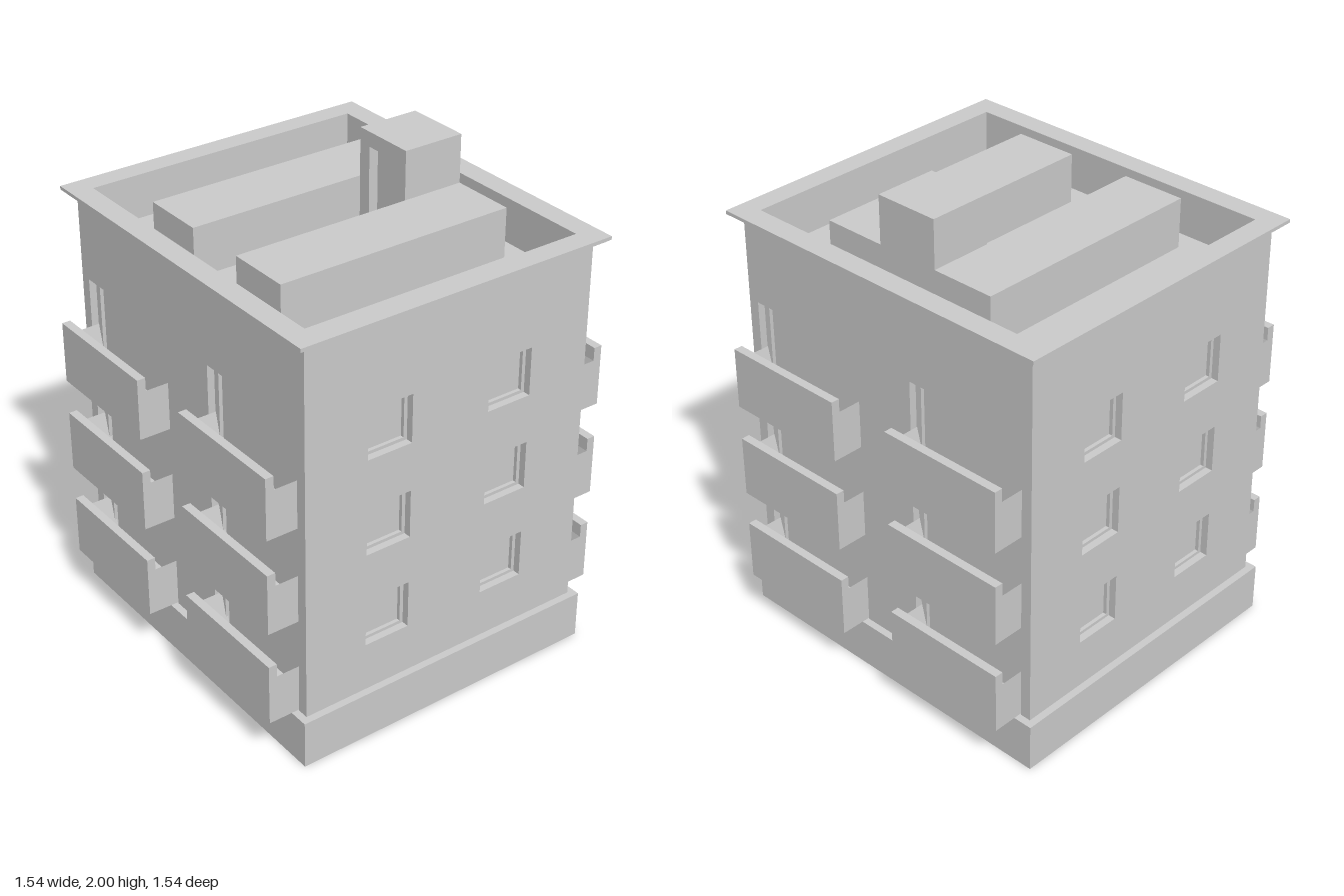
import * as THREE from 'three';
import { ConvexGeometry } from 'three/addons/geometries/ConvexGeometry.js';

const mat = new THREE.MeshStandardMaterial({ color: 0xcccccc, side: THREE.DoubleSide });
const STOREYS = [0, 1, 2];
const ROOF = 1.6;

function add(parent, name, geometry, x = 0, y = 0, z = 0) {
  const mesh = new THREE.Mesh(geometry, mat);
  mesh.name = name;
  mesh.position.set(x, y, z);
  parent.add(mesh);
  return mesh;
}

// Box given by its minimum and maximum corners
function block(parent, name, x0, x1, y0, y1, z0, z1) {
  return add(parent, name, new THREE.BoxGeometry(x1 - x0, y1 - y0, z1 - z0),
    (x0 + x1) / 2, (y0 + y1) / 2, (z0 + z1) / 2);
}

function rectPoints([x0, x1, y0, y1]) {
  return [[x0, y0], [x1, y0], [x1, y1], [x0, y1]].map(p => new THREE.Vector2(...p));
}

// Flat slab with rectangular holes, each rectangle as [x0, x1, y0, y1]
function slab(rect, holes, depth) {
  const shape = new THREE.Shape(rectPoints(rect));
  for (const h of holes) shape.holes.push(new THREE.Path(rectPoints(h).reverse()));
  return new THREE.ExtrudeGeometry(shape, { depth, bevelEnabled: false });
}

// Horizontal ring running round the top of the walls
function ring(parent, name, hx, hz, y, height) {
  const mesh = add(parent, name, slab([-hx, hx, -hz, hz], [[-0.595, 0.595, -0.68, 0.68]], height), 0, y, 0);
  mesh.rotation.x = -Math.PI / 2;
}

// Wall of two layers: an outer reveal and a narrower inner frame
function wall(name, half, distance, angle, reveals, frames) {
  const g = new THREE.Group();
  g.name = name;
  const rect = [-half, half, 0.15, 1.765];
  add(g, 'wallFace', slab(rect, reveals, 0.03), 0, 0, distance - 0.03);
  add(g, 'openingFrames', slab(rect, frames, 0.015), 0, 0, distance - 0.045);
  g.rotation.y = angle;
  return g;
}

// Balcony along z: trough with a raised front rail and sloped inner ends
function balcony() {
  const g = new THREE.Group();
  g.name = 'balcony';
  const half = 0.27;
  const profile = [[0.6, 0], [0.77, 0], [0.77, 0.255], [0.735, 0.255],
    [0.735, 0.2], [0.703, 0.05], [0.6, 0.05]];
  const shape = new THREE.Shape(profile.map(p => new THREE.Vector2(...p)));
  add(g, 'balconyTrough', new THREE.ExtrudeGeometry(shape, { depth: 2 * half, bevelEnabled: false }), 0, 0, -half);
  for (const s of [-1, 1]) {
    const end = s * half, inner = s * (half - 0.035);
    const pts = [[0.6, 0.2, end], [0.735, 0.2, end], [0.6, 0.05, end], [0.703, 0.05, end],
      [0.6, 0.05, inner], [0.703, 0.05, inner]];
    add(g, 'balconyEnd', new ConvexGeometry(pts.map(p => new THREE.Vector3(...p))));
  }
  return g;
}

export function createModel() {
  const model = new THREE.Group();
  model.name = 'apartmentBuilding';

  // Plinth and solid core up to the roof deck
  block(model, 'plinth', -0.67, 0.67, 0, 0.2, -0.755, 0.755);
  block(model, 'core', -0.595, 0.595, 0.15, ROOF, -0.68, 0.68);

  // Front and back walls with two columns of windows
  const reveals = [], frames = [];
  for (const i of STOREYS) for (const s of [-1, 1]) {
    const x = s * 0.273, y = 0.505 + 0.4 * i + 0.002 * i;
    reveals.push([x - 0.098, x + 0.098, y - 0.1, y + 0.1]);
    frames.push([x - 0.083, x + 0.083, y - 0.087, y + 0.087]);
  }
  model.add(wall('frontWall', 0.595, 0.725, 0, reveals, frames));
  model.add(wall('backWall', 0.595, 0.725, Math.PI, reveals, frames));

  // Side walls with two tall recesses holding a glazed door per storey
  const recesses = [], doors = [];
  for (const s of [-1, 1]) {
    const z = s * 0.407;
    recesses.push([z - 0.272, z + 0.272, 0.18, 1.41]);
    for (const i of STOREYS) doors.push([z - 0.246, z + 0.246, 0.22 + 0.4 * i, 0.6 + 0.4 * i]);
  }
  model.add(wall('leftWall', 0.725, 0.64, Math.PI / 2, recesses, doors));
  model.add(wall('rightWall', 0.725, 0.64, -Math.PI / 2, recesses, doors));

  // Balconies, two per storey on each side
  for (const side of [0, Math.PI]) for (const s of [-1, 1]) for (const i of STOREYS) {
    const b = balcony();
    b.rotation.y = side;
    b.position.set(0, 0.203 + 0.402 * i, s * 0.407);
    model.add(b);
  }

  // Cornice around the parapet
  ring(model, 'corniceLower', 0.675, 0.76, 1.758, 0.01);
  ring(model, 'corniceUpper', 0.685, 0.77, 1.766, 0.014);

  // Roof blocks and stair house with a recessed doorway
  for (const s of [-1, 1]) {
    const z = s * 0.27;
    block(model, 'roofBlock', -0.505, 0.505, ROOF - 0.01, 1.803, z - 0.134, z + 0.134);
  }
  block(model, 'stairHouse', 0.285, 0.505, ROOF - 0.01, 2, -0.136, 0.136);
  const doorway = slab([-0.136, 0.136, ROOF - 0.02, 2], [[-0.08, 0.08, ROOF - 0.01, 1.94]], 0.04);
  add(model, 'stairHouseDoorway', doorway, 0.285, 0, 0).rotation.y = -Math.PI / 2;

  return model;
}
